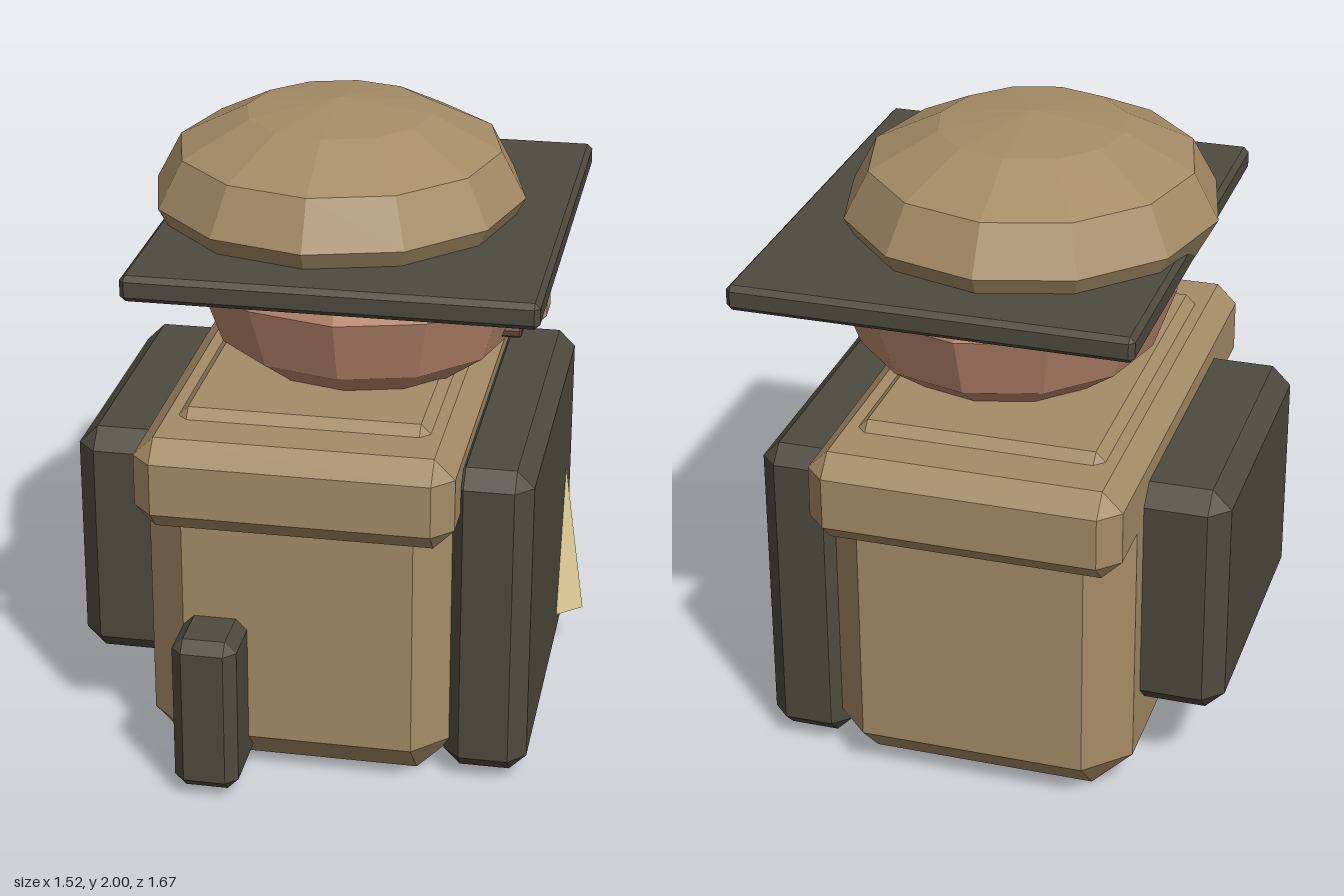
import * as THREE from 'three';
import { ConvexGeometry } from 'three/addons/geometries/ConvexGeometry.js';

const paint = (color) => new THREE.MeshStandardMaterial({ color, flatShading: true });

export function createModel() {
  const group = new THREE.Group();
  const tan = paint(0xa58c66);
  const dark = paint(0x4e4a3f);
  const skin = paint(0xbf8c70);
  const lip = paint(0x6b4436);
  const bone = paint(0xd8c48f);

  const add = (name, geometry, material) => {
    const mesh = new THREE.Mesh(geometry, material);
    mesh.name = name;
    group.add(mesh);
    return mesh;
  };

  // Box with bevelled edges and corners, given by its extents on each axis
  const bevelBox = (name, material, x, y, z, c) => {
    const points = [];
    for (const i of [0, 1]) for (const j of [0, 1]) for (const k of [0, 1]) {
      for (let axis = 0; axis < 3; axis++) {
        // Each corner becomes three points; one axis keeps its full extent
        const inset = (range, side, a) => range[side] + (a === axis ? 0 : side ? -c : c);
        points.push(new THREE.Vector3(inset(x, i, 0), inset(y, j, 1), inset(z, k, 2)));
      }
    }
    return add(name, new ConvexGeometry(points), material);
  };

  // Faceted ellipsoid
  const ball = (name, material, center, radii) => {
    const g = new THREE.SphereGeometry(1, 12, 6);
    g.scale(...radii);
    g.translate(...center);
    return add(name, g, material);
  };

  // Torso
  bevelBox('body', tan, [-0.51, 0.46], [0, 1.18], [-0.73, 0.65], 0.13);
  bevelBox('shoulders', tan, [-0.51, 0.46], [0.86, 1.15], [-0.835, 0.755], 0.063);
  bevelBox('chestPlate', dark, [0.415, 0.675], [0.03, 1.055], [-0.65, 0.58], 0.053);
  bevelBox('backpack', dark, [-0.765, -0.45], [0.26, 1.03], [-0.525, 0.445], 0.06);
  bevelBox('sidePouch', dark, [-0.38, -0.18], [0.03, 0.54], [0.53, 0.835], 0.035);

  // Head and face, looking along +x
  ball('head', skin, [0.06, 1.465, -0.04], [0.54, 0.4, 0.545]);
  for (const [name, z] of [['leftLens', [-0.48, -0.08]], ['rightLens', [0.005, 0.4]]]) {
    bevelBox(name, dark, [0.5, 0.61], [1.48, 1.61], z, 0.02);
  }
  bevelBox('nose', skin, [0.5, 0.64], [1.32, 1.49], [-0.115, 0.04], 0.028);
  bevelBox('mouth', lip, [0.49, 0.57], [1.29, 1.32], [-0.14, 0.07], 0.007);

  // Hat
  ball('hatCrown', tan, [-0.02, 1.71, -0.04], [0.58, 0.29, 0.612]);
  bevelBox('hatBrim', dark, [-0.535, 0.692], [1.575, 1.655], [-0.785, 0.7], 0.016);

  // Slanted spike standing out of the chest plate
  const spike = [
    [0.67, 0.65, -0.46], [0.67, 0.33, -0.462], [0.67, 0.12, -0.41],
    [0.67, 0.145, -0.285], [0.757, 0.15, -0.35], [0.71, 0.125, -0.4],
  ].map((p) => new THREE.Vector3(...p));
  add('chestSpike', new ConvexGeometry(spike), bone);

  return group;
}
